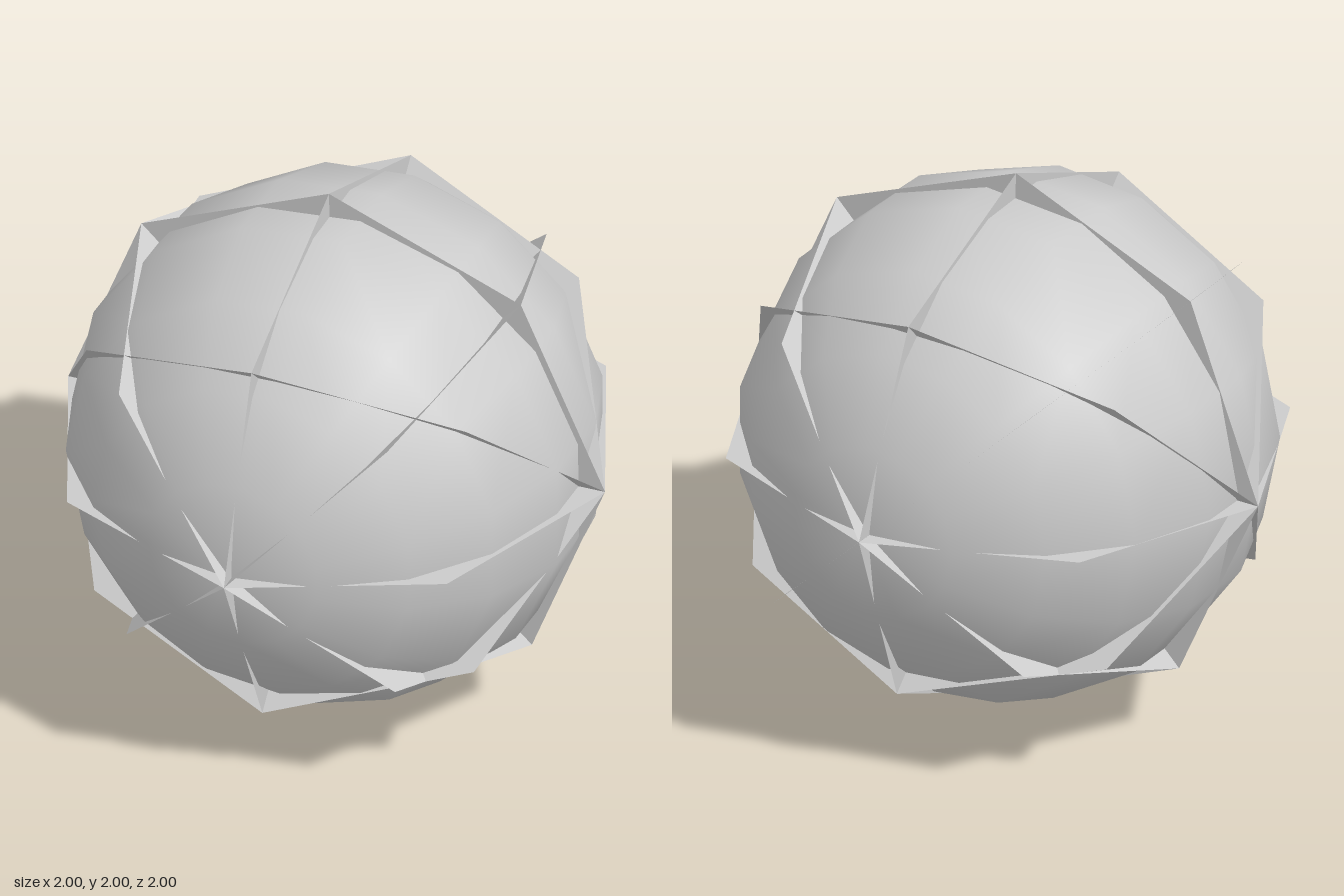
import * as THREE from 'three';

export function createModel() {
  const group = new THREE.Group();
  group.name = 'sphereWithOctagons';

  // Smooth core sphere, its poles on the z axis
  const core = new THREE.Mesh(
    new THREE.SphereGeometry(0.935, 15, 9).rotateX(Math.PI / 2),
    new THREE.MeshStandardMaterial({ color: 0xcccccc })
  );
  core.name = 'coreSphere';
  core.position.y = 1;
  group.add(core);

  // Flat octagons through the centre; their corners poke out of the sphere
  const plates = new THREE.Group();
  plates.name = 'octagonPlates';
  plates.position.y = 1;
  plates.quaternion.setFromAxisAngle(new THREE.Vector3(1, 1, 1).normalize(), 0.035);
  group.add(plates);

  const plateMaterial = new THREE.MeshStandardMaterial({ color: 0xcccccc, side: THREE.DoubleSide });
  const addPlate = (geometry, name) => {
    const plate = new THREE.Mesh(geometry, plateMaterial);
    plate.name = name;
    plates.add(plate);
  };
  const octagon = () => new THREE.CircleGeometry(1, 8);

  // Four plates sharing the x axis
  for (let k = 0; k < 4; k++) {
    addPlate(octagon().rotateX(k * Math.PI / 4), 'sidePlate' + (k + 1));
  }
  // Three plates sharing the z axis
  for (let k = -1; k <= 1; k++) {
    addPlate(octagon().rotateY(Math.PI / 2).rotateZ(k * Math.PI / 4), 'frontPlate' + (k + 2));
  }

  return group;
}
